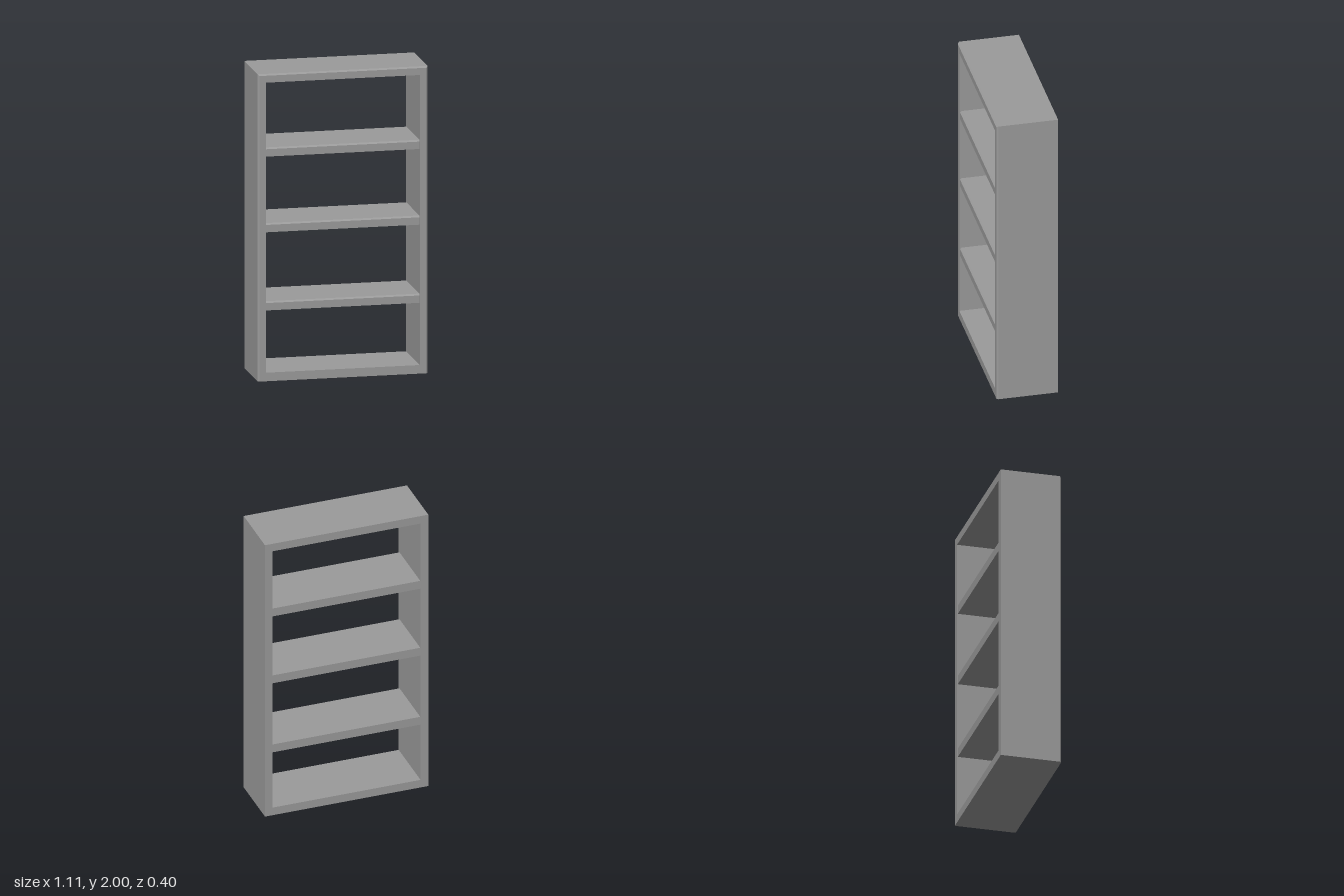
import * as THREE from 'three';

const HALF_W = 0.5525, HALF_D = 0.2, INNER = 0.5, BEVEL = 0.01;

// Four corners of a rectangle at depth z, counter-clockwise from the front
const ring = (x, y0, y1, z) => [[-x, y0, z], [x, y0, z], [x, y1, z], [-x, y1, z]];

// Open box frame: rectangular rings joined from the back, round the outside, to the inside
function frameGeometry() {
  const rings = [
    ring(HALF_W, 0, 2, -HALF_D),
    ring(HALF_W, 0, 2, HALF_D - BEVEL),
    ring(HALF_W - BEVEL, 0, 2 - BEVEL, HALF_D), // bevel on sides and top only
    ring(INNER, 0.056, 1.945, HALF_D),
    ring(INNER, 0.056, 1.945, -HALF_D),
  ];
  const pos = [];
  rings.forEach((a, r) => {
    const b = rings[(r + 1) % rings.length];
    for (let i = 0; i < 4; i++) {
      const j = (i + 1) % 4;
      pos.push(...a[i], ...a[j], ...b[j], ...a[i], ...b[j], ...b[i]);
    }
  });
  const geo = new THREE.BufferGeometry();
  geo.setAttribute('position', new THREE.Float32BufferAttribute(pos, 3));
  geo.computeVertexNormals();
  return geo;
}

// Shelf board: side profile with a bevelled top front edge, extruded across the width
function shelfGeometry(thickness, halfDepth) {
  const h = thickness / 2;
  const profile = new THREE.Shape([
    [-halfDepth, -h], [halfDepth, -h], [halfDepth, h - BEVEL], [halfDepth - BEVEL, h], [-halfDepth, h],
  ].map(([z, y]) => new THREE.Vector2(z, y)));
  const geo = new THREE.ExtrudeGeometry(profile, { depth: 2 * INNER, bevelEnabled: false });
  geo.translate(0, 0, -INNER);
  geo.rotateY(-Math.PI / 2);
  return geo;
}

export function createModel() {
  const model = new THREE.Group();
  model.name = 'bookcase';
  const material = new THREE.MeshStandardMaterial({ color: 0x9b9b9b, flatShading: true });

  const frame = new THREE.Mesh(frameGeometry(), material);
  frame.name = 'frame';
  model.add(frame);

  // Three evenly spaced shelves, set slightly back from the frame edges
  const shelf = shelfGeometry(0.058, HALF_D - 0.005);
  [0.489, 0.998, 1.491].forEach((y, i) => {
    const mesh = new THREE.Mesh(shelf, material);
    mesh.name = `shelf${i + 1}`;
    mesh.position.y = y;
    model.add(mesh);
  });
  return model;
}
